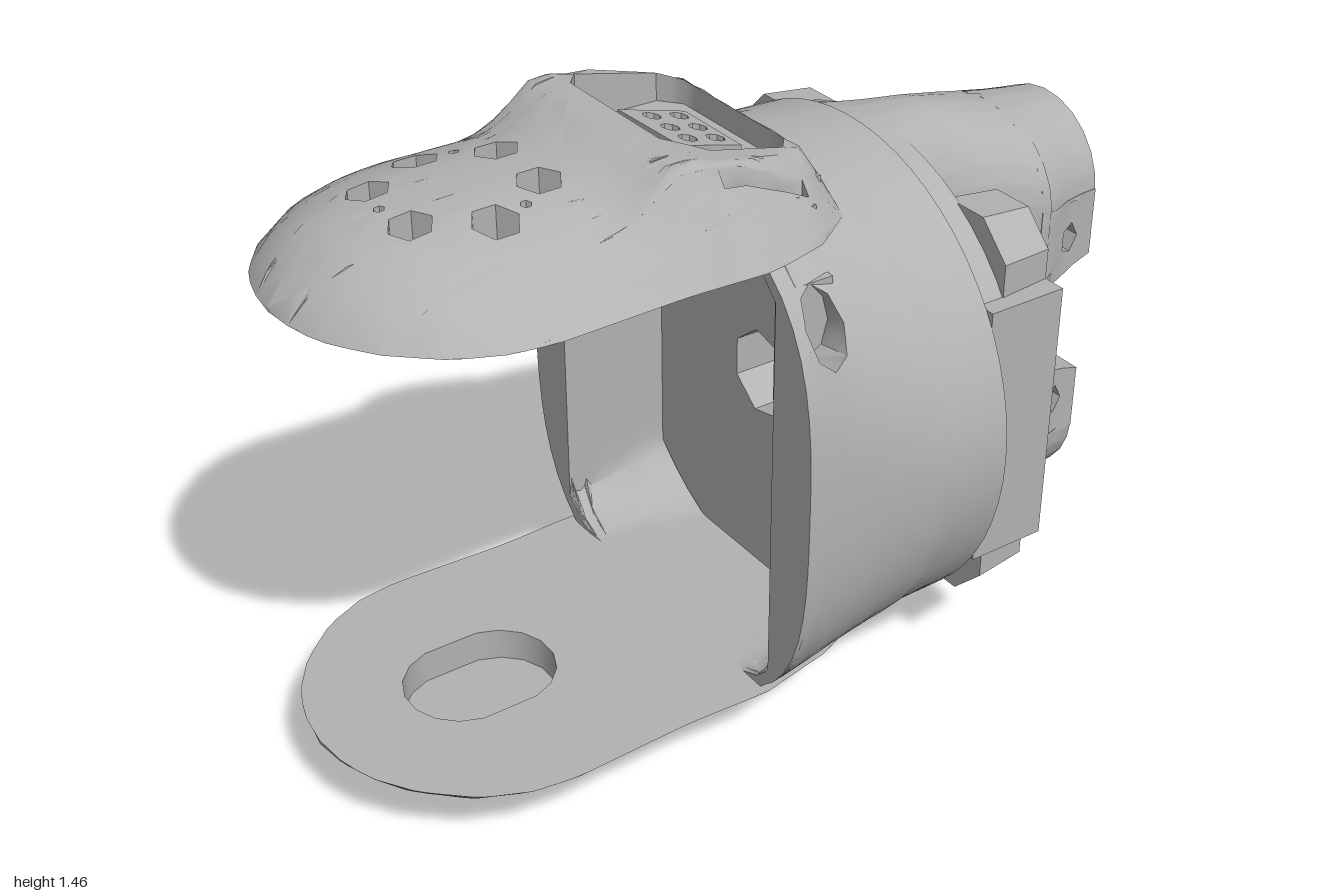
import * as THREE from 'three';
import { toCreasedNormals } from 'three/addons/utils/BufferGeometryUtils.js';

const grey = new THREE.MeshStandardMaterial({ color: 0xb2b2b2 });
grey.name = 'cast grey';
const CY = 0.71; // height of the body axis

// Piecewise linear lookup in a short table of [x, value]
function look(table, x) {
  if (x <= table[0][0]) return table[0][1];
  for (let i = 1; i < table.length; i++) {
    const [x0, a] = table[i - 1], [x1, b] = table[i];
    if (x <= x1) return a + (b - a) * (x - x0) / (x1 - x0);
  }
  return table[table.length - 1][1];
}

function polyPoints(cx, cy, rx, ry = rx, n = 6, rot = 0) {
  return Array.from({ length: n }, (_, i) => {
    const a = rot + i / n * Math.PI * 2;
    return new THREE.Vector2(cx + rx * Math.cos(a), cy + ry * Math.sin(a));
  });
}
const hole = (...args) => new THREE.Path(polyPoints(...args));

function stadium(cx, cy, hx, hy, n = 24) {
  const r = Math.min(hx, hy);
  return polyPoints(0, 0, r, r, n, Math.PI / n).map(p => new THREE.Vector2(
    cx + p.x + Math.sign(p.x) * (hx - r), cy + p.y + Math.sign(p.y) * (hy - r)));
}

function shapeOf(points, holes = []) {
  const s = new THREE.Shape(points);
  s.holes.push(...holes);
  return s;
}

// Extrude a shape, split its long edges and bend it: rule(u, v, t) gives [x, y, z]
function bent(name, shape, depth, rule, maxEdge = 0.08) {
  const src = new THREE.ExtrudeGeometry(shape, { depth, bevelEnabled: false }).getAttribute('position');
  const out = [];
  let volume = 0;
  const split = (a, b, c) => {
    const ab = a.distanceTo(b), bc = b.distanceTo(c), ca = c.distanceTo(a);
    const longest = Math.max(ab, bc, ca);
    if (longest > maxEdge) {
      // Turn the corners so that the longest edge is p-q, then halve it
      const [p, q, r] = longest === ab ? [a, b, c] : longest === bc ? [b, c, a] : [c, a, b];
      const mid = p.clone().add(q).multiplyScalar(0.5);
      split(p, mid, r);
      split(mid, q, r);
      return;
    }
    const tri = [a, b, c].map(p => new THREE.Vector3(...rule(p.x, p.y, p.z / depth)));
    if (new THREE.Triangle(...tri).getArea() < 1e-9) return;
    volume += tri[0].dot(tri[1].clone().cross(tri[2]));
    out.push(tri);
  };
  for (let i = 0; i < src.count; i += 3) {
    split(...[0, 1, 2].map(k => new THREE.Vector3().fromBufferAttribute(src, i + k)));
  }
  const pts = out.flatMap(t => (volume < 0 ? [t[0], t[2], t[1]] : t));
  const geo = new THREE.BufferGeometry().setFromPoints(pts);
  const mesh = new THREE.Mesh(toCreasedNormals(geo, 0.75), grey);
  mesh.name = name;
  return mesh;
}

function box(name, w, h, d, x, y, z) {
  const m = new THREE.Mesh(new THREE.BoxGeometry(w, h, d), grey);
  m.position.set(x, y, z);
  m.name = name;
  return m;
}

// Outline of a tongue plate, mirrored in z from its half widths
function outline(width) {
  const x0 = width[0][0], x1 = width[width.length - 1][0], half = [];
  for (let i = 0; i <= 30; i++) {
    const x = x0 + (x1 - x0) * Math.pow(i / 30, 1.5);
    half.push(new THREE.Vector2(x, look(width, x)));
  }
  const back = half.slice(1).reverse().map(p => new THREE.Vector2(p.x, -p.y));
  return [...half, ...back];
}

export function createModel() {
  const g = new THREE.Group();
  g.name = 'clamp housing';
  const along = (x0, x1) => (u, v, t) => [x0 + (x1 - x0) * t, v, u];

  // Ring shell, unrolled as (angle, x): squarish at the mouth, oval at the end wall
  const R = 0.55, a0 = -Math.PI / 2;
  const ringShape = shapeOf([[a0, -0.1], [a0 + 2 * Math.PI, -0.1], [a0 + 2 * Math.PI, 0.4], [a0, 0.4]]
    .map(([a, x]) => new THREE.Vector2(a * R, x)),
  [0.67, Math.PI - 0.67].map(a => hole(a * R, -0.02, 0.08, 0.05, 8)));
  g.add(bent('ring shell', ringShape, 0.06, (u, x, t) => {
    const c = Math.cos(u / R), s = Math.sin(u / R);
    const n = look([[-0.1, 3], [0.05, 2.5], [0.25, 2]], x);
    const k = Math.pow(Math.pow(Math.abs(c), n) + Math.pow(Math.abs(s), n), -1 / n);
    const z = look([[-0.1, 0.555], [0.15, 0.58], [0.22, 0.598]], x) * c * k;
    const y = look([[-0.1, 0.615], [0.4, 0.6]], x) * s * k;
    const iz = THREE.MathUtils.clamp(z * 0.96, -0.42, 0.42);
    const iy = THREE.MathUtils.clamp(y * 0.96, -0.53, 0.54);
    return [x, CY + y + (iy - y) * t, z + (iz - z) * t];
  }));
  for (const s of [-1, 1]) g.add(box('port floor', 0.13, 0.26, 0.02, -0.025, 1.07, s * 0.415));

  // End wall with a bore, and a front layer with six bolt holes
  const bolts = [];
  for (const s of [-1, 1]) bolts.push([s * 0.32, 0.71], [s * 0.34, 1.06], [s * 0.34, 0.36]);
  const oval = polyPoints(0, CY, 0.58, 0.58, 56)
    .map(p => new THREE.Vector2(THREE.MathUtils.clamp(p.x, -0.515, 0.515), p.y));
  const bore = hole(0, CY, 0.11, 0.11, 7);
  g.add(bent('end wall', shapeOf(oval, [bore]), 0.15, along(0.18, 0.33), 0.2));
  g.add(bent('bolt wall', shapeOf(oval, [bore, ...bolts.map(([z, y]) => hole(z, y, 0.08, 0.08, 6))]),
    0.14, along(0.33, 0.47), 0.2));
  for (const [z, y] of bolts) {
    if (y === 0.71) { // side blocks
      const s = Math.sign(z);
      const rect = [[0.19, 0.4], [0.52, 0.4], [0.52, 1.04], [0.19, 1.04]].map(([a, b]) => new THREE.Vector2(a * s, b));
      g.add(bent('side block', shapeOf(rect, [hole(z, y, 0.095, 0.095, 7)]), 0.2, along(0.4, 0.6), 1));
    } else { // corner sockets, slightly tapered
      const rim = polyPoints(z, y, 0.15, 0.15, 8, Math.PI / 8);
      g.add(bent('corner socket', shapeOf(rim, [hole(z, y, 0.085, 0.085, 6)]), 0.13,
        (u, v, t) => [0.465 + 0.135 * t, v + (y - v) * 0.1 * t, u + (z - u) * 0.1 * t], 1));
    }
  }

  // Waisted neck
  const wide = [[0.4, 1.75], [0.47, 1.35], [0.54, 1.08], [0.62, 0.92], [0.7, 1.0], [0.82, 1.22], [0.92, 1.02], [1, 1]];
  const tall = [[0.4, 1.16], [0.6, 1.14], [0.7, 1.1], [0.82, 1.04], [1, 1]];
  const neckRule = (x0, x1) => (u, v, t) => {
    const x = x0 + (x1 - x0) * t;
    return [x, CY + v * look(tall, x), u * look(wide, x)];
  };
  const neckShape = shapeOf(stadium(0, 0, 0.2, 0.515, 28),
    [hole(0, 0, 0.1, 0.11, 5, 0.3), ...[-1, 1].map(s => hole(0, s * 0.315, 0.085, 0.09, 6))]);
  g.add(bent('neck', neckShape, 0.42, neckRule(0.4, 0.82), 0.07));

  // Fork ends: an arch at top and bottom, each with two pierced cheeks
  for (const s of [-1, 1]) {
    g.add(box('neck hole floor', 0.04, 0.25, 0.26, 0.64, CY + s * 0.33, 0));
    const arch = [];
    for (const [r, dir] of [[0.2, 1], [0.145, -1]]) {
      for (let i = 0; i <= 12; i++) {
        const a = Math.PI * (dir > 0 ? i : 12 - i) / 12;
        arch.push(new THREE.Vector2(r * Math.cos(a), s * (0.315 + r * Math.sin(a))));
      }
    }
    g.add(bent('fork arch', shapeOf(arch), 0.2, neckRule(0.8, 1), 0.06));
    for (const side of [-1, 1]) {
      const cheek = shapeOf([[0.8, 0.13], [0.9, 0.13], [1, 0.16], [1, 0.33], [0.8, 0.33]]
        .map(([x, y]) => new THREE.Vector2(x, s * y)), [hole(0.92, s * 0.225, 0.03, 0.04, 5)]);
      g.add(bent('fork cheek', cheek, 0.055, (x, y, t) =>
        [x, CY + y, side * (0.2 - 0.07 * t) * look(wide, x)], 0.06));
    }
  }

  // Upper tongue: domed plate with button holes and a raised pocket
  const topWidth = [[-1, 0], [-0.99, 0.1], [-0.96, 0.18], [-0.9, 0.27], [-0.8, 0.36], [-0.7, 0.405], [-0.6, 0.42],
    [-0.3, 0.41], [-0.1, 0.42], [0.05, 0.38], [0.16, 0.3]];
  const topHeight = [[-1, 0.01], [-0.95, 0.06], [-0.88, 0.11], [-0.78, 0.145], [-0.65, 0.16], [-0.4, 0.165],
    [-0.32, 0.185], [-0.25, 0.21], [-0.18, 0.205], [0, 0.165], [0.11, 0.14], [0.16, 0.07]];
  const buttons = [];
  for (const s of [-1, 1]) {
    buttons.push(hole(-0.73, s * 0.09, 0.048), hole(-0.585, s * 0.165, 0.052), hole(-0.44, s * 0.085, 0.05),
      hole(-0.505, s * 0.145, 0.012),
      new THREE.Path([[-0.15, 0.288], [0.06, 0.288], [0.06, 0.312], [-0.15, 0.312]].map(([x, z]) => new THREE.Vector2(x, s * z))));
    g.add(box('slot floor', 0.23, 0.06, 0.05, -0.045, 1.28, s * 0.3));
  }
  const pocket = new THREE.Path([[-0.19, -0.2], [-0.15, -0.25], [0.06, -0.25], [0.1, -0.2], [0.1, 0.17],
    [0.06, 0.22], [-0.12, 0.22], [-0.19, 0.14]].map(([x, z]) => new THREE.Vector2(x, z)));
  g.add(bent('upper tongue', shapeOf(outline(topWidth), [...buttons, hole(-0.75, 0, 0.012), pocket]), 0.05, (x, z, t) => {
    const s = Math.min(1, Math.abs(z) / Math.max(look(topWidth, x), 0.001));
    const dome = 1 - Math.pow(s, 2.4), flat = Math.min(1, (1 - s) / 0.33);
    const k = THREE.MathUtils.smoothstep(x, -0.42, -0.2);
    return [x, 1.25 + t * look(topHeight, x) * (dome + (flat - dome) * k), z];
  }, 0.06));
  g.add(box('pocket floor', 0.34, 0.07, 0.52, -0.04, 1.3, 0));
  const pins = [];
  for (const x of [-0.07, 0]) for (const z of [-0.07, 0, 0.065]) pins.push(hole(x, z, 0.021, 0.021, 8));
  const plug = [[-0.13, -0.11], [0.035, -0.1], [0.035, 0.11], [-0.12, 0.11]].map(([x, z]) => new THREE.Vector2(x, z));
  g.add(bent('connector block', shapeOf(plug, pins), 0.06, (x, z, t) => [x, 1.31 + t * (0.07 - x * 0.25), z], 1));

  // Pad and peg hanging under the upper tongue
  g.add(bent('upper pad', shapeOf(stadium(-0.6, 0, 0.2, 0.19, 16)), 0.08, (x, z, t) =>
    [x + (x > -0.6 ? 0.07 * t : 0), 1.17 + 0.085 * t, z], 1));
  g.add(box('peg', 0.07, 0.08, 0.07, -0.215, 1.215, 0));

  // Lower tongue: hull skin with small ports, and a deck with a recess
  const lowWidth = [...topWidth.slice(0, 9), [0.1, 0.38], [0.35, 0.26]];
  const keel = [[-1, 0.17], [-0.95, 0.12], [-0.88, 0.075], [-0.8, 0.04], [-0.7, 0.012], [-0.6, 0], [-0.35, 0.008],
    [0, 0.03], [0.2, 0.075], [0.35, 0.115]];
  const hull = (x, z) => {
    const s = Math.min(1, Math.abs(z) / Math.max(look(lowWidth, x), 0.001));
    const k = look(keel, x);
    return k + (0.18 - k) * Math.pow(s, 2.2);
  };
  const ports = [hole(-0.83, 0, 0.04)];
  for (const s of [-1, 1]) ports.push(hole(-0.65, s * 0.22, 0.045), hole(-0.31, s * 0.22, 0.045));
  g.add(bent('lower hull', shapeOf(outline(lowWidth), ports), 0.05, (x, z, t) => {
    const b = hull(x, z);
    return [x, b + t * (Math.max(b, 0.1) - b), z];
  }, 0.06));
  const recess = new THREE.Path(stadium(-0.6, 0, 0.18, 0.14, 16));
  g.add(bent('lower deck', shapeOf(outline(lowWidth), [recess]), 0.05, (x, z, t) => {
    const b = Math.max(hull(x, z), 0.1);
    return [x, b + t * (0.18 - b), z];
  }, 0.06));

  return g;
}
